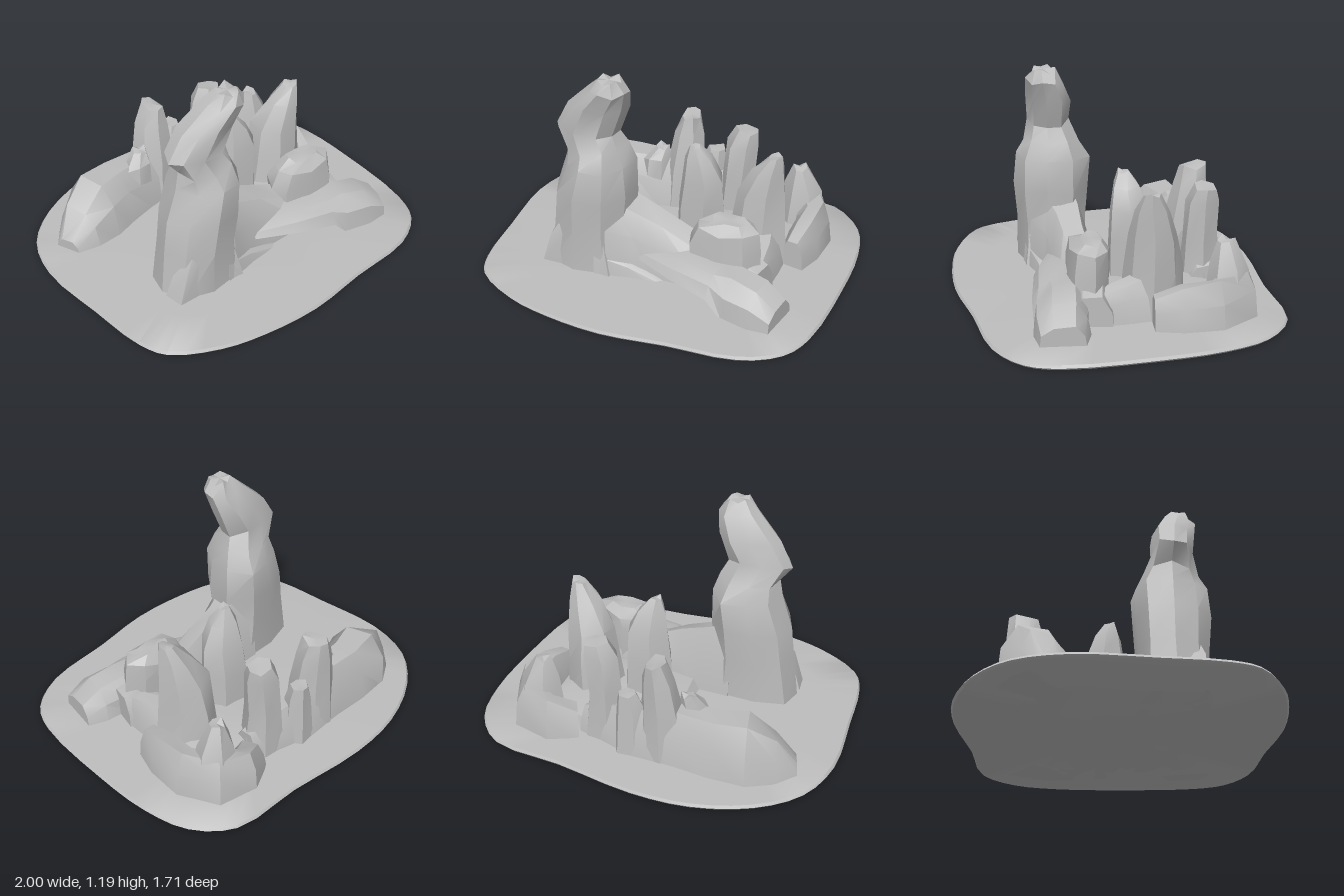
import * as THREE from 'three';
import { toCreasedNormals } from 'three/addons/utils/BufferGeometryUtils.js';

const stone = new THREE.MeshStandardMaterial({ color: 0xbdbdbd });
stone.name = 'greyStone';

// Seeded random numbers in -1..1
function seeded(seed) {
  let s = seed * 7919 + 17;
  return () => {
    s = (s * 16807) % 2147483647;
    return (s / 2147483647) * 2 - 1;
  };
}

// Closed skin over a list of rings with equal point counts
function loft(name, rings, crease = 0.55) {
  const n = rings[0].length, last = rings.length - 1;
  const pos = [], idx = [];
  rings.forEach(r => r.forEach(p => pos.push(p.x, p.y, p.z)));
  for (let i = 0; i < last; i++) {
    for (let j = 0; j < n; j++) {
      const k = (j + 1) % n;
      const a = i * n + j, b = i * n + k, c = b + n, d = a + n;
      idx.push(a, b, c, a, c, d);
    }
  }
  [0, last].forEach(i => {
    const mid = new THREE.Vector3();
    rings[i].forEach(p => mid.addScaledVector(p, 1 / n));
    const m = pos.length / 3;
    pos.push(mid.x, mid.y, mid.z);
    for (let j = 0; j < n; j++) {
      const a = i * n + j, b = i * n + (j + 1) % n;
      if (i === 0) idx.push(m, b, a);
      else idx.push(m, a, b);
    }
  });
  const geo = new THREE.BufferGeometry();
  geo.setAttribute('position', new THREE.Float32BufferAttribute(pos, 3));
  geo.setIndex(idx);
  const mesh = new THREE.Mesh(toCreasedNormals(geo, crease), stone);
  mesh.name = name;
  return mesh;
}

// Upright rock: levels are [y, centre x, centre z, radius x, radius z]
function spire(name, seed, sides, levels, rough = 0.09) {
  const rnd = seeded(seed);
  const turn = rnd() * 0.5;
  const lobes = Array.from({ length: sides }, () => 1 + rnd() * rough);
  return loft(name, levels.map(([y, cx, cz, rx, rz], i) =>
    lobes.map((lobe, j) => {
      const t = (j / sides) * Math.PI * 2 + turn;
      const r = lobe * (1 + rnd() * rough * 0.6);
      const lift = i === 0 ? 0 : rnd() * 0.018;
      return new THREE.Vector3(cx + Math.cos(t) * rx * r, y + lift, cz - Math.sin(t) * rz * r);
    })));
}

// Long rock: stations are [x, z, half width, underside y, top y]
const profile = [[1, 0], [0.85, 0.6], [0.45, 1], [-0.35, 0.97], [-0.8, 0.65], [-1, 0]];
function ridge(name, seed, stations) {
  const rnd = seeded(seed);
  return loft(name, stations.map(([x, z, w, y0, y1], i) => {
    const p = stations[Math.max(i - 1, 0)];
    const q = stations[Math.min(i + 1, stations.length - 1)];
    const side = new THREE.Vector3(q[1] - p[1], 0, p[0] - q[0]).normalize();
    return profile.map(([u, v]) => {
      const k = u * w * (1 + rnd() * 0.08);
      const y = y0 + v * (y1 - y0) * (1 + rnd() * 0.06);
      return new THREE.Vector3(x + side.x * k, y, z + side.z * k);
    });
  }));
}

// Thin ground plate with a soft rounded outline
function groundPlate() {
  const outline = [
    [1, 0], [0.99, -0.35], [0.92, -0.6], [0.74, -0.77], [0.35, -0.8], [-0.1, -0.855],
    [-0.42, -0.83], [-0.72, -0.71], [-0.92, -0.52], [-1, -0.25], [-0.97, 0.15], [-0.93, 0.48],
    [-0.86, 0.63], [-0.62, 0.77], [-0.38, 0.83], [-0.05, 0.855], [0.3, 0.81], [0.68, 0.77],
    [0.88, 0.65], [0.96, 0.48],
  ].map(([x, z]) => new THREE.Vector3(x, 0, z));
  const smooth = new THREE.CatmullRomCurve3(outline, true).getPoints(60).slice(0, 60);
  const ring = (s, y) => smooth.map(p => new THREE.Vector3(p.x * s, y, p.z * s));
  return loft('groundPlate', [ring(0.99, 0), ring(1, 0.012), ring(0.99, 0.026), ring(0.75, 0.035), ring(0.4, 0.045)], 0.9);
}

export function createModel() {
  const model = new THREE.Group();
  model.name = 'rockFormation';
  model.add(groundPlate());

  // Tall leaning tower and its buttresses
  model.add(
    spire('tower', 3, 9, [
      [0, -0.37, 0.26, 0.27, 0.19], [0.28, -0.37, 0.25, 0.235, 0.19],
      [0.48, -0.355, 0.25, 0.23, 0.205], [0.67, -0.32, 0.25, 0.185, 0.2],
      [0.76, -0.33, 0.25, 0.165, 0.145], [0.86, -0.38, 0.26, 0.18, 0.11],
      [1.0, -0.31, 0.27, 0.165, 0.12], [1.12, -0.225, 0.3, 0.11, 0.1],
      [1.18, -0.22, 0.31, 0.06, 0.06],
    ]),
    spire('towerButtress', 11, 5, [[0, -0.54, 0.34, 0.11, 0.1], [0.22, -0.5, 0.35, 0.07, 0.07], [0.38, -0.44, 0.34, 0.02, 0.03]]),
    spire('towerButtress', 12, 5, [[0, -0.25, 0.34, 0.1, 0.1], [0.2, -0.27, 0.34, 0.06, 0.07], [0.34, -0.28, 0.32, 0.02, 0.03]]),
  );

  // Front wall with an overhanging ledge that ends in a foot
  model.add(
    ridge('frontWall', 4, [
      [-0.25, 0.24, 0.18, 0, 0.48], [-0.1, 0.22, 0.15, 0, 0.4], [0.05, 0.22, 0.13, 0, 0.35],
      [0.22, 0.22, 0.13, 0, 0.27], [0.5, 0.22, 0.13, 0, 0.25], [0.62, 0.25, 0.12, 0, 0.2],
    ]),
    ridge('frontLedge', 5, [
      [-0.02, 0.26, 0.1, 0.15, 0.2], [0.2, 0.33, 0.13, 0.15, 0.23], [0.42, 0.37, 0.14, 0.12, 0.23],
      [0.52, 0.38, 0.15, 0.02, 0.23], [0.67, 0.41, 0.15, 0, 0.21], [0.78, 0.43, 0.13, 0, 0.14],
    ]),
    ridge('frontSkirt', 6, [[-0.3, 0.32, 0.12, 0, 0.22], [-0.1, 0.3, 0.1, 0, 0.14], [0.1, 0.32, 0.06, 0, 0.05]]),
    spire('frontBlock', 7, 8, [
      [0.1, 0.39, 0.22, 0.2, 0.12], [0.3, 0.38, 0.21, 0.2, 0.12],
      [0.39, 0.4, 0.21, 0.17, 0.11], [0.44, 0.41, 0.2, 0.1, 0.06],
    ]),
  );

  // Low rock floor between the walls
  model.add(spire('innerFloor', 8, 10, [[0, 0.25, -0.15, 0.42, 0.4], [0.09, 0.27, -0.15, 0.36, 0.35], [0.13, 0.35, -0.16, 0.22, 0.2]]));

  // Back wall and the curved side wall
  model.add(
    ridge('backWall', 9, [
      [-0.82, -0.34, 0.08, 0, 0.09], [-0.72, -0.38, 0.14, 0, 0.24], [-0.58, -0.43, 0.18, 0, 0.34],
      [-0.42, -0.46, 0.16, 0, 0.35], [-0.22, -0.47, 0.13, 0, 0.33], [0, -0.5, 0.11, 0, 0.3],
      [0.2, -0.46, 0.1, 0, 0.25], [0.34, -0.44, 0.09, 0, 0.18],
    ]),
    ridge('sideWall', 10, [
      [0.38, -0.5, 0.1, 0, 0.18], [0.5, -0.57, 0.1, 0, 0.25], [0.63, -0.53, 0.12, 0, 0.28],
      [0.71, -0.38, 0.11, 0, 0.27], [0.7, -0.2, 0.1, 0, 0.25], [0.68, -0.06, 0.07, 0, 0.2],
    ]),
    ridge('sideLink', 13, [[0.57, 0.18, 0.07, 0, 0.2], [0.56, 0.05, 0.09, 0, 0.24], [0.52, -0.08, 0.12, 0, 0.26]]),
  );

  // Standing spires
  model.add(
    spire('sideSpire', 21, 7, [
      [0, 0.46, -0.11, 0.18, 0.17], [0.26, 0.47, -0.11, 0.155, 0.155], [0.45, 0.48, -0.11, 0.14, 0.13],
      [0.6, 0.52, -0.09, 0.09, 0.09], [0.7, 0.56, -0.08, 0.04, 0.045],
    ]),
    spire('middleSpire', 22, 6, [
      [0, 0.14, -0.08, 0.15, 0.13], [0.3, 0.14, -0.08, 0.14, 0.12], [0.48, 0.15, -0.07, 0.12, 0.1],
      [0.6, 0.13, -0.06, 0.08, 0.07], [0.68, 0.11, -0.05, 0.03, 0.03],
    ]),
    spire('backSpire', 23, 6, [
      [0, 0.23, -0.45, 0.13, 0.12], [0.3, 0.23, -0.45, 0.1, 0.1],
      [0.52, 0.25, -0.45, 0.1, 0.09], [0.61, 0.27, -0.46, 0.07, 0.06],
    ]),
    spire('backSpire', 24, 7, [
      [0, -0.13, -0.49, 0.14, 0.14], [0.3, -0.12, -0.49, 0.11, 0.12],
      [0.5, -0.11, -0.51, 0.09, 0.1], [0.6, -0.1, -0.52, 0.05, 0.08],
    ]),
    spire('backKnob', 25, 6, [[0, 0.04, -0.54, 0.1, 0.09], [0.3, 0.04, -0.54, 0.08, 0.07], [0.4, 0.05, -0.55, 0.05, 0.05]]),
    spire('cornerSpire', 26, 6, [[0.1, 0.61, -0.48, 0.14, 0.13], [0.3, 0.61, -0.48, 0.11, 0.11], [0.43, 0.59, -0.47, 0.04, 0.05]]),
    spire('ridgeKnob', 27, 6, [[0.1, -0.29, -0.42, 0.1, 0.09], [0.32, -0.28, -0.42, 0.08, 0.07], [0.4, -0.25, -0.44, 0.04, 0.04]]),
  );
  return model;
}
